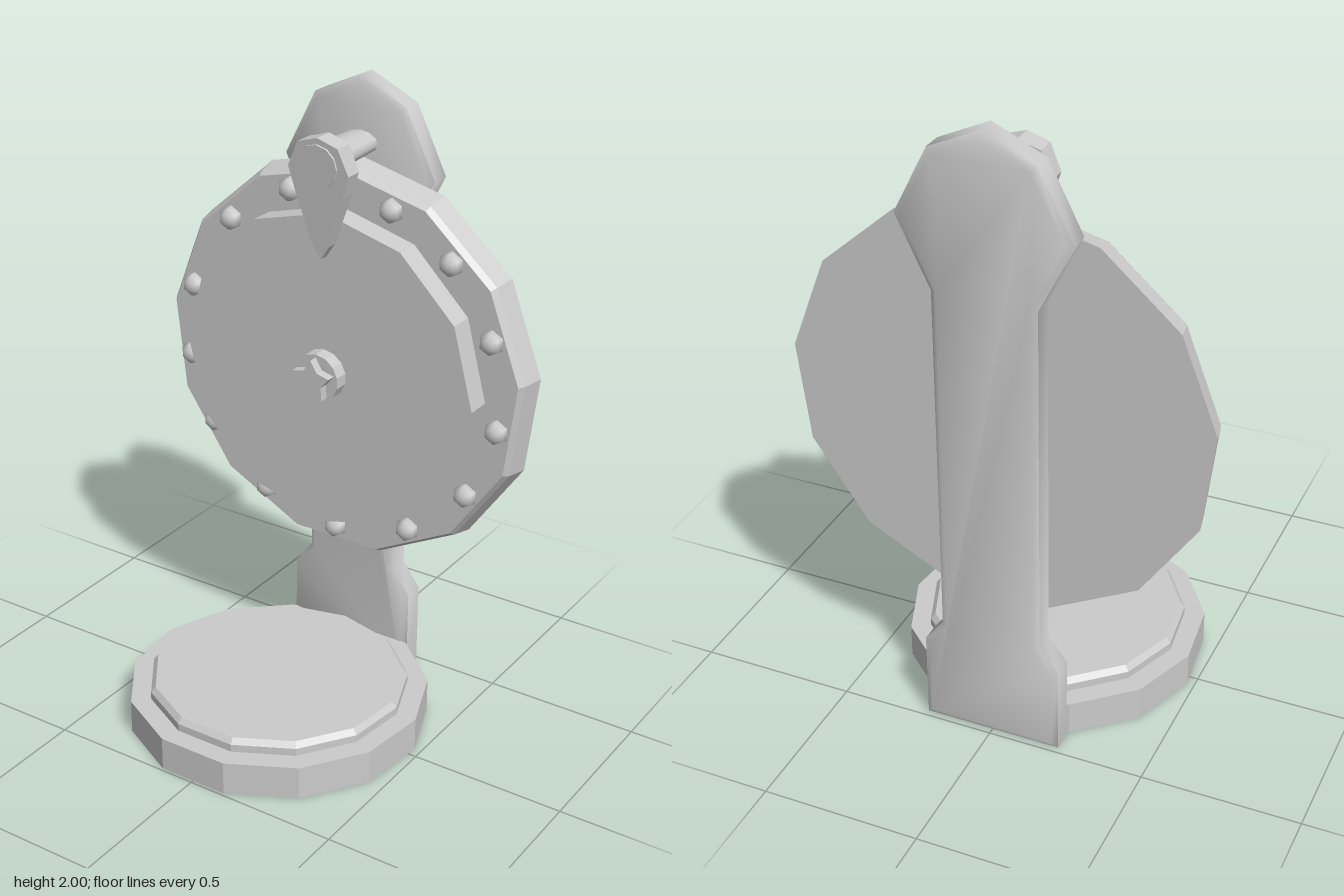
import * as THREE from 'three';
import { toCreasedNormals } from 'three/addons/utils/BufferGeometryUtils.js';

const GREY = 0xcccccc;
const flat = new THREE.MeshStandardMaterial({ color: GREY, flatShading: true });
const smooth = new THREE.MeshStandardMaterial({ color: GREY });
const AXLE_Y = 1.1;

function add(parent, name, geometry, material, x = 0, y = 0, z = 0) {
  const mesh = new THREE.Mesh(geometry, material);
  mesh.name = name;
  mesh.position.set(x, y, z);
  parent.add(mesh);
  return mesh;
}

// Faceted disc around y from [radius, height] pairs, bottom to top
function disc(pairs, sides, phase) {
  return new THREE.LatheGeometry(pairs.map(([r, h]) => new THREE.Vector2(r, h)), sides, phase);
}

// Same disc, turned so its top faces +z
function facing(pairs, sides, phase = 0) {
  return disc(pairs, sides, phase).rotateX(Math.PI / 2);
}

// Closed shape mirrored about x = 0 from its right half, listed bottom to top
function mirrored(half) {
  const left = half.filter(([x]) => x > 0).map(([x, y]) => [-x, y]).reverse();
  return new THREE.Shape([...half, ...left].map(([x, y]) => new THREE.Vector2(x, y)));
}

export function createModel() {
  const model = new THREE.Group();
  model.name = 'wheelStand';

  // Base: thirteen-sided plate with a raised pad
  const base = new THREE.Group();
  base.name = 'base';
  base.position.z = 0.025;
  model.add(base);
  const half13 = Math.PI / 13;
  add(base, 'basePlate', disc([[0, 0], [0.48, 0], [0.48, 0.11], [0, 0.11]], 13, half13), flat);
  add(base, 'basePad', disc([[0.415, 0.11], [0.415, 0.135], [0.4, 0.153], [0, 0.153]], 13, half13), flat);

  // Upright post with wide foot and angular head
  const bevel = 0.012;
  const post = new THREE.ExtrudeGeometry(
    mirrored([[0.22, 0], [0.22, 0.285], [0.16, 0.365], [0.16, 1.5], [0.265, 1.715], [0.16, 1.925], [0, 2]]),
    { depth: 0.09 - 2 * bevel, bevelThickness: bevel, bevelSize: 0.02, bevelOffset: -0.02, bevelSegments: 1 }
  );
  add(model, 'post', toCreasedNormals(post, 0.95), smooth, 0, 0, -0.49 + bevel);

  // Wheel: tapered rim and raised face
  const wheel = new THREE.Group();
  wheel.name = 'wheel';
  wheel.position.y = AXLE_Y;
  model.add(wheel);
  add(wheel, 'rim', facing([[0, -0.4], [0.66, -0.4], [0.645, -0.33], [0.632, -0.31], [0, -0.31]], 13, half13), flat);
  add(wheel, 'wheelFace', facing([[0.52, -0.31], [0.52, -0.228], [0, -0.228]], 12), flat);

  // Domed bolts around the rim, angles in degrees from the bottom
  const boltShape = new THREE.SphereGeometry(0.04, 6, 3, 0, Math.PI * 2, 0, Math.PI / 2).rotateX(Math.PI / 2);
  const angles = [0, 28, 55.3, 81.6, 110.6, 137, 161.6, -161.6, -135, -105, -80.5, -56.4, -28];
  for (const degrees of angles) {
    const a = THREE.MathUtils.degToRad(degrees);
    const bolt = add(wheel, 'bolt', boltShape, smooth, 0.57 * Math.sin(a), -0.57 * Math.cos(a), -0.31);
    bolt.rotation.z = Math.PI / 6;
  }

  // Hub with a five-pointed knob
  add(wheel, 'hub', facing([[0.08, -0.228], [0.08, -0.18], [0, -0.18]], 14), flat);
  const starPoints = [];
  for (let i = 0; i < 10; i++) {
    const r = i % 2 ? 0.04 : 0.07;
    const a = Math.PI / 2 + (i * Math.PI) / 5;
    starPoints.push(new THREE.Vector2(r * Math.cos(a), r * Math.sin(a)));
  }
  const star = new THREE.ExtrudeGeometry(new THREE.Shape(starPoints), { depth: 0.03, bevelEnabled: false });
  add(wheel, 'hubStar', star, flat, 0, 0, -0.18);

  // Handle: flattened shaft, tapering pointer and round cap
  const handle = new THREE.Group();
  handle.name = 'handle';
  handle.position.set(0.011, 0, 0);
  model.add(handle);
  const shaft = add(handle, 'handleShaft', facing([[0.06, -0.41], [0.07, -0.22]], 12), smooth, 0, 1.8, 0);
  shaft.scale.y = 0.6;

  const pointer = new THREE.ExtrudeGeometry(
    mirrored([[0, 1.49], [0.03, 1.535], [0.085, 1.7], [0.105, 1.77], [0.07, 1.85], [0, 1.872]]),
    { depth: 0.065, bevelEnabled: false }
  );
  const p = pointer.attributes.position;
  for (let i = 0; i < p.count; i++) {
    // Thin the pointer towards its tip
    const drop = 1.872 - p.getY(i);
    p.setZ(i, p.getZ(i) > 0.03 ? -0.16 - 0.07 * drop : -0.227 + 0.025 * drop);
  }
  pointer.computeVertexNormals();
  add(handle, 'handlePointer', pointer, flat);

  const cap = add(handle, 'handleCap', facing([[0.068, -0.02], [0.068, 0.006], [0, 0.006]], 12), flat, 0, 1.785, -0.165);
  cap.rotation.x = 0.07;
  return model;
}
